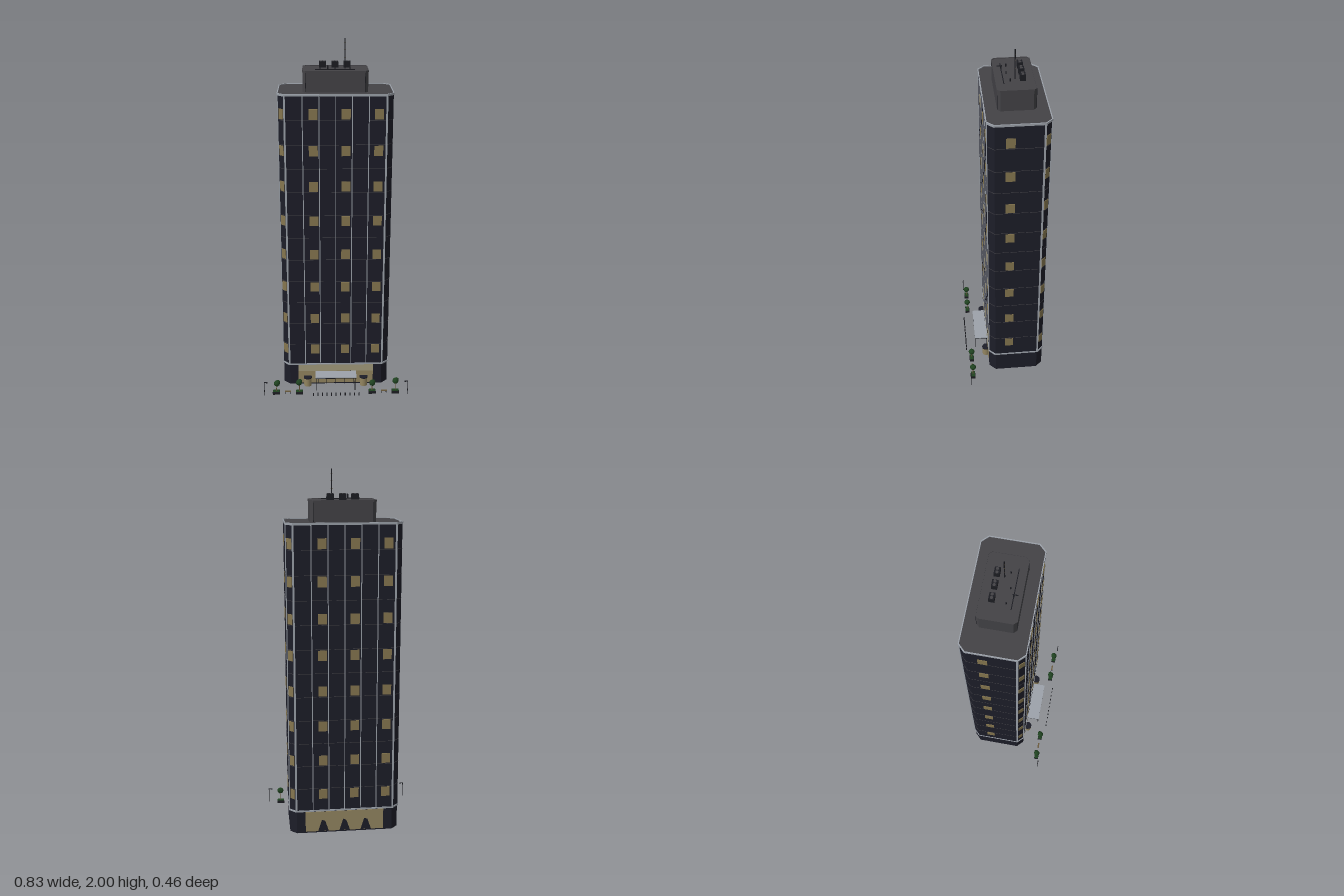
import * as THREE from 'three';

const mat = (name, color) => {
  const m = new THREE.MeshStandardMaterial({ color });
  m.name = name;
  return m;
};

export function createModel() {
  const M = {
    glass: mat('dark glass', 0x1c1d28),
    roof: mat('roof grey', 0x434246),
    trim: mat('light metal', 0x9ca2aa),
    lit: mat('lit window', 0x85764f),
    lobby: mat('lobby glow', 0x938560),
    pale: mat('pale lobby glass', 0xa39b7c),
    black: mat('black metal', 0x1c1d22),
    leaf: mat('leaves', 0x1f4220),
    wood: mat('wood', 0x6b5a3c),
    paving: mat('slate', 0x848c92),
  };
  const model = new THREE.Group();
  model.name = 'tower';
  const CZ = -0.0665, HX = 0.307, HZ = 0.161, CH = 0.036; // plan of the tower

  const add = (name, geo, m, x = 0, y = 0, z = 0, ry = 0, parent = model) => {
    const mesh = new THREE.Mesh(geo, m);
    mesh.name = name;
    mesh.position.set(x, y, z);
    mesh.rotation.y = ry;
    parent.add(mesh);
    return mesh;
  };
  const box = (name, m, w, h, d, x, y, z, ry = 0, parent = model) =>
    add(name, new THREE.BoxGeometry(w, h, d), m, x, y, z, ry, parent);
  const cyl = (name, m, r, h, x, y, z, n = 8, parent = model) =>
    add(name, new THREE.CylinderGeometry(r, r, h, n), m, x, y, z, 0, parent);

  // Rectangle with cut corners, as a solid slab or, with a wall thickness, a ring
  const octPoints = (hx, hz, c) => [
    [hx - c, -hz], [hx, c - hz], [hx, hz - c], [hx - c, hz],
    [c - hx, hz], [-hx, hz - c], [-hx, c - hz], [c - hx, -hz],
  ].map(([x, y]) => new THREE.Vector2(x, y));
  const slab = (name, m, hx, hz, c, y0, y1, wall = 0) => {
    const s = new THREE.Shape(octPoints(hx, hz, c));
    if (wall) s.holes.push(new THREE.Path(octPoints(hx - wall, hz - wall, c - wall * 0.4)));
    const g = new THREE.ExtrudeGeometry(s, { depth: y1 - y0, bevelEnabled: false });
    g.rotateX(-Math.PI / 2);
    return add(name, g, m, 0, y0, CZ);
  };

  // Base, shaft and roof
  const Y0 = 0.135, Y1 = 1.725, FLOORS = 24, FH = (Y1 - Y0) / FLOORS;
  slab('base', M.glass, HX - 0.002, HZ - 0.002, CH, 0.001, 0.13);
  box('baseUnderside', M.paving, 0.44, 0.004, 0.19, 0, 0.002, CZ);
  slab('baseTrim', M.trim, HX + 0.003, HZ + 0.003, CH, 0.13, 0.139);
  slab('shaft', M.glass, HX, HZ, CH, 0.139, Y1);
  for (let i = 2; i < FLOORS; i += 2) {
    const y = Y0 + i * FH;
    slab('floorLine', M.roof, HX + 0.001, HZ + 0.001, CH, y - 0.001, y + 0.001, 0.006);
  }
  slab('roof', M.roof, HX, HZ, CH, Y1, 1.729);
  slab('parapet', M.trim, HX + 0.003, HZ + 0.003, CH, 1.721, 1.733, 0.005);

  // Vertical metal fins: wide at the corners, slim along front and back
  const finH = Y1 - 0.139, finY = (Y1 + 0.139) / 2;
  for (const s of [-1, 1]) {
    for (const sz of [-1, 1])
      box('cornerFin', M.trim, 0.01, finH, 0.005, s * (HX - CH), finY, CZ + sz * HZ);
    box('cornerFin', M.trim, 0.005, finH, 0.01, s * HX, finY, CZ - s * (HZ - CH));
  }
  for (const sz of [-1, 1]) for (let i = -2; i <= 2; i++)
    box('fin', M.trim, 0.005, finH, 0.005, i * 0.0885, finY, CZ + sz * HZ);

  // Lit windows on every third floor; the pattern repeats turned by half a circle
  const spots = [[-0.12, HZ, 0], [0.055, HZ, 0], [0.23, HZ, 0],
    [HX, 0.045, Math.PI / 2], [HX - CH / 2, -HZ + CH / 2, Math.PI * 0.75]];
  for (let f = 1; f < FLOORS; f += 3) {
    const y = Y0 + (f + 0.5) * FH;
    spots.forEach(([x, z, a], k) => {
      const w = k === 4 ? 0.032 : 0.048;
      for (const s of [1, -1])
        box('litWindow', M.lit, w, 0.056, 0.006, s * x, y, CZ + s * z, a);
    });
  }

  // Lobby glazing, front and back
  const front = CZ + HZ, back = CZ - HZ;
  box('frontLobby', M.lobby, 0.44, 0.078, 0.004, 0, 0.048, front - 0.001);
  box('frontLobbyUpper', M.pale, 0.44, 0.042, 0.004, 0, 0.108, front - 0.001);
  box('backLobby', M.lobby, 0.44, 0.118, 0.004, 0, 0.068, back + 0.001);
  for (let i = -2; i <= 2; i++)
    box('doorFrame', M.black, 0.003, 0.08, 0.003, i * 0.052, 0.042, front + 0.002);
  box('doorHead', M.black, 0.23, 0.004, 0.003, 0, 0.084, front + 0.002);
  const peak = new THREE.ExtrudeGeometry(new THREE.Shape([
    new THREE.Vector2(-0.03, 0), new THREE.Vector2(0.03, 0),
    new THREE.Vector2(0.01, 0.06), new THREE.Vector2(-0.008, 0.068),
  ]), { depth: 0.002, bevelEnabled: false });
  for (const x of [-0.12, 0, 0.12])
    add('backLobbyScreen', peak, M.glass, x, 0.01, back, Math.PI);

  // Revolving doors
  for (const s of [-1, 1]) {
    cyl('revolvingDoor', M.lobby, 0.022, 0.05, s * 0.165, 0.025, 0.105, 20);
    cyl('revolvingDoorCap', M.glass, 0.024, 0.006, s * 0.165, 0.053, 0.105, 20);
  }

  // Canopy on slim posts
  box('canopy', M.trim, 0.24, 0.004, 0.077, 0, 0.084, 0.1315);
  box('canopyEdge', M.black, 0.24, 0.004, 0.002, 0, 0.08, 0.169);
  for (const s of [-1, 1]) {
    box('canopyEdge', M.black, 0.002, 0.004, 0.075, s * 0.119, 0.08, 0.132);
    cyl('canopyPost', M.black, 0.002, 0.082, s * 0.112, 0.041, 0.166);
  }

  // Roof-top plant room
  const PY = 1.84;
  slab('plantRoom', M.roof, 0.174, 0.098, 0.016, 1.729, PY);
  slab('plantRoomEdge', M.roof, 0.176, 0.1, 0.016, PY - 0.006, PY + 0.003, 0.004);
  for (const sx of [-1, 1]) for (const sz of [-1, 1])
    box('plantRoomFin', M.black, 0.003, 0.1, 0.002, sx * 0.158, 1.782, CZ + sz * 0.098);

  // Cooling units with paired fans
  for (const x of [-0.067, -0.001, 0.065]) {
    box('coolingUnit', M.black, 0.037, 0.032, 0.028, x, PY + 0.018, -0.104);
    for (const s of [-1, 1])
      cyl('fan', M.roof, 0.0075, 0.003, x + s * 0.009, PY + 0.035, -0.104, 14);
  }

  // Mast, vents and facade-cleaning crane
  cyl('mast', M.black, 0.003, 0.16, 0.053, 1.92, -0.067, 6);
  for (const y of [1.9, 1.94, 1.975]) box('mastArm', M.wood, 0.012, 0.002, 0.002, 0.053, y, -0.067);
  for (const [x, z] of [[-0.08, -0.035], [-0.001, -0.028], [0.078, -0.041]])
    cyl('vent', M.black, 0.003, 0.016, x, PY + 0.008, z);
  box('craneRail', M.black, 0.212, 0.005, 0.004, -0.001, PY + 0.004, -0.007);
  box('cranePost', M.black, 0.006, 0.024, 0.006, -0.04, PY + 0.014, -0.007);
  box('craneArm', M.black, 0.004, 0.004, 0.028, -0.04, PY + 0.026, 0.002);

  // Trees in planters
  const crown = new THREE.IcosahedronGeometry(0.018, 1);
  const trees = [[-0.347, 0.197, 0.068, 0.004], [-0.213, 0.199, 0.074, -0.002],
    [0.21, 0.198, 0.066, 0], [0.345, 0.198, 0.078, 0]];
  for (const [x, z, y, dx] of trees) {
    const t = new THREE.Group();
    t.name = 'tree';
    t.position.set(x, 0, z);
    box('planter', M.black, 0.042, 0.016, 0.026, 0, 0.008, 0, 0, t);
    box('planting', M.leaf, 0.038, 0.003, 0.023, 0, 0.017, 0, 0, t);
    cyl('trunk', M.wood, 0.0025, y - 0.012, 0, y / 2 + 0.003, 0, 6, t);
    add('crown', crown, M.leaf, dx, y, 0, x * 9, t);
    add('crown', crown, M.leaf, dx + 0.005, y + 0.004, -0.004, x * 20, t).scale.setScalar(0.8);
    model.add(t);
  }

  // Benches and street lamps, mirrored
  for (const s of [-1, 1]) {
    box('benchSeat', M.wood, 0.034, 0.004, 0.009, s * 0.279, 0.015, 0.198);
    for (const e of [-1, 1])
      box('benchLeg', M.black, 0.003, 0.013, 0.008, s * 0.279 + e * 0.013, 0.0065, 0.198);
    cyl('lampPost', M.black, 0.0018, 0.086, s * 0.415, 0.043, 0.214, 6);
    box('lampArm', M.black, 0.02, 0.003, 0.003, s * 0.406, 0.085, 0.214);
    box('lampHead', M.black, 0.01, 0.004, 0.006, s * 0.4, 0.083, 0.214);
  }

  // Bollards
  for (let i = -5; i <= 5; i++)
    box('bollard', M.black, 0.006, 0.018, 0.006, i * 0.0264, 0.009, 0.225);

  return model;
}
